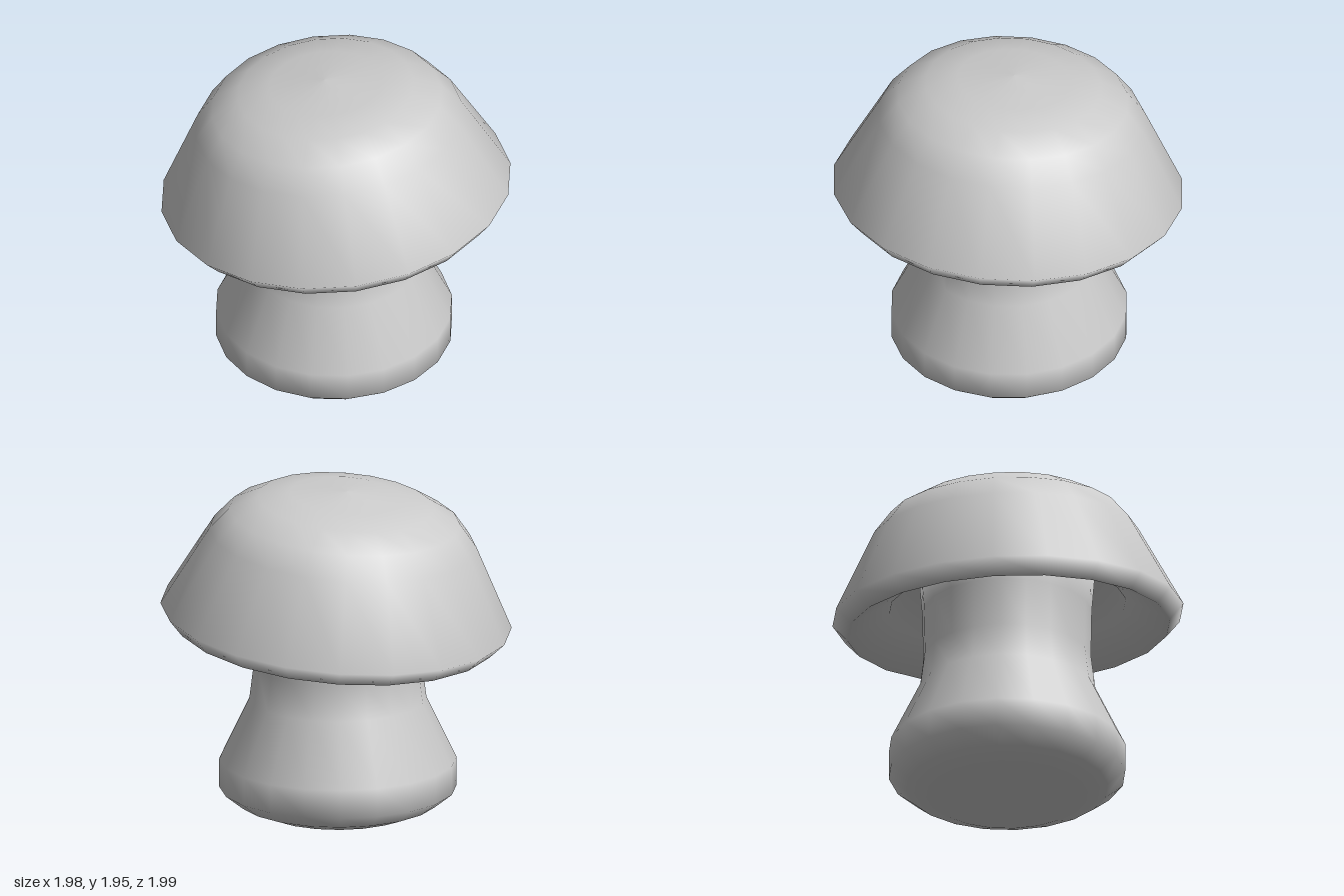
import * as THREE from 'three';

const SIDES = 20;

// Smooth turned part from [radius, height] pairs
function turned(name, profile) {
  const points = profile.map(([r, y]) => new THREE.Vector2(r, y));
  const mesh = new THREE.Mesh(
    new THREE.LatheGeometry(points, SIDES),
    new THREE.MeshStandardMaterial({ color: 0xcccccc })
  );
  mesh.name = name;
  return mesh;
}

export function createModel() {
  const group = new THREE.Group();
  group.name = 'mushroom';

  // Bulbous stem, running up into the hollow of the cap
  const stem = turned('stem', [
    [0, 0], [0.43, 0.065], [0.57, 0.12], [0.67, 0.2], [0.67, 0.365],
    [0.5, 0.72], [0.475, 0.92], [0.48, 1.2], [0.5, 1.45], [0, 1.5],
  ]);
  stem.position.x = -0.013;
  group.add(stem);

  // Tilted cap: hollow underside, lip, rim, then the dome
  const cap = turned('cap', [
    [0, 0.42], [0.58, 0.3], [0.67, 0.05], [0.915, -0.09], [0.995, 0],
    [0.757, 0.465], [0.655, 0.592], [0.5, 0.678], [0.32, 0.717], [0, 0.744],
  ]);
  cap.position.y = 1.2;
  cap.rotation.z = 0.1;
  group.add(cap);

  return group;
}
